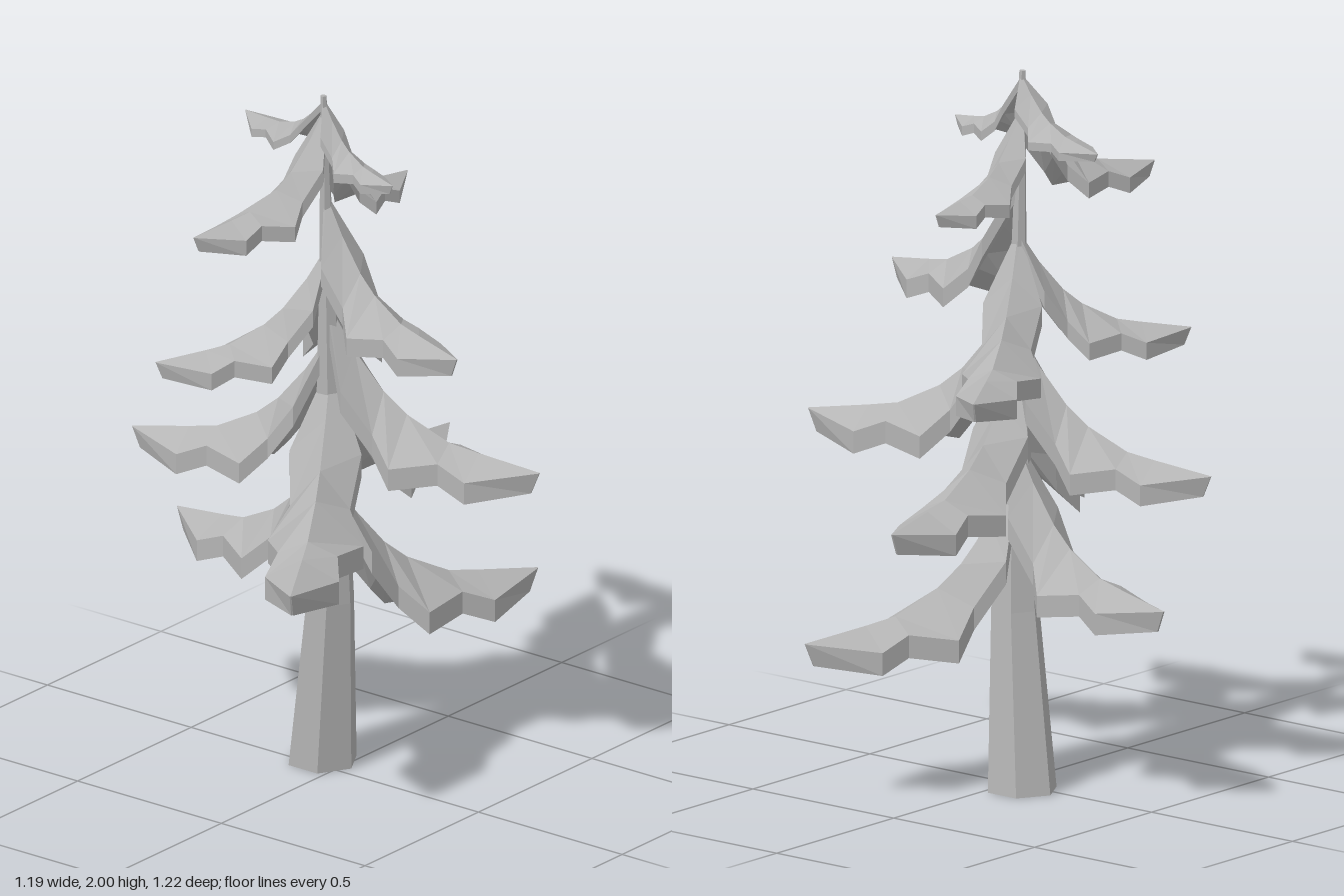
import * as THREE from 'three';

const grey = new THREE.MeshStandardMaterial({ color: 0xb4b4b4, flatShading: true });
grey.name = 'grey';

// Closed solid through rings of points, each counterclockwise around the path.
function loft(rings) {
  const n = rings[0].length, index = [];
  for (let i = 0; i < rings.length - 1; i++) {
    for (let j = 0; j < n; j++) {
      const k = (j + 1) % n, a = i * n + j, b = i * n + k;
      index.push(a, b, b + n, a, b + n, a + n);
    }
  }
  const g = new THREE.BufferGeometry();
  g.setAttribute('position', new THREE.Float32BufferAttribute(rings.flat(2), 3));
  // End caps
  const last = (rings.length - 1) * n;
  for (let j = 1; j < n - 1; j++) {
    index.push(0, j + 1, j);
    index.push(last, last + j, last + j + 1);
  }
  g.setIndex(index);
  const flat = g.toNonIndexed();
  flat.computeVertexNormals();
  return flat;
}

// Trunk sections: height, centre x, centre z, radius
const TRUNK = [
  [0, 0.035, -0.07, 0.1],
  [0.5, 0.005, -0.02, 0.07],
  [0.95, -0.018, 0, 0.045],
  [1.5, -0.035, 0, 0.022],
  [2, -0.05, 0, 0.009],
];

function trunkCentre(y) {
  let i = 0;
  while (i < TRUNK.length - 2 && TRUNK[i + 1][0] < y) i++;
  const [a, b] = [TRUNK[i], TRUNK[i + 1]];
  const t = (y - a[0]) / (b[0] - a[0]);
  return [a[1] + (b[1] - a[1]) * t, a[2] + (b[2] - a[2]) * t];
}

// Branch sections for unit length: distance, ridge height, half width, edge height
const BRANCH = [
  [0, 0.62, 0.02, 0.6],
  [0.12, 0.43, 0.15, 0.29],
  [0.26, 0.26, 0.125, 0.1],
  [0.37, 0.17, 0.2, -0.015],
  [0.57, 0.07, 0.125, 0.015],
  [0.71, 0.045, 0.155, -0.04],
  [1, 0, 0.004, -0.002],
];
const THICK = 0.1;

function branchGeometry() {
  return loft(BRANCH.map(([u, ridge, w, edge]) => {
    const v = u === 1 ? 0.96 : u; // underside tip is set back
    return [
      [w, edge, u], [0, ridge, u], [-w, edge, u],
      [-w, edge - THICK, v], [0, ridge - THICK, v], [w, edge - THICK, v],
    ];
  }));
}

// Branch tips, from the lowest upward
const TIPS = [
  [0.59, 0.47, 0.24],
  [0.08, 0.6, -0.61],
  [-0.6, 0.78, 0.32],
  [0.58, 0.825, -0.06],
  [-0.17, 0.925, -0.57],
  [0.13, 0.985, 0.61],
  [0.46, 1.2, -0.25],
  [-0.41, 1.255, -0.3],
  [-0.12, 1.375, 0.52],
  [0.32, 1.665, 0],
  [-0.47, 1.685, -0.12],
  [-0.1, 1.82, 0.28],
  [0.05, 1.84, -0.35],
];

export function createModel() {
  const tree = new THREE.Group();
  tree.name = 'pineTree';

  // Leaning hexagonal trunk
  const trunk = new THREE.Mesh(loft(TRUNK.map(([y, x, z, r]) =>
    Array.from({ length: 6 }, (_, i) => {
      const a = i * Math.PI / 3;
      return [x + r * Math.sin(a), y, z + r * Math.cos(a)];
    }))), grey);
  trunk.name = 'trunk';
  tree.add(trunk);

  // Drooping folded branches, each aimed from the trunk to its tip
  const geometry = branchGeometry();
  TIPS.forEach(([x, y, z], i) => {
    const [cx, cz] = trunkCentre(y + 0.3 * Math.hypot(x, z));
    const length = Math.hypot(x - cx, z - cz);
    const branch = new THREE.Mesh(geometry, grey);
    branch.name = `branch${i + 1}`;
    branch.position.set(cx, y, cz);
    branch.rotation.y = Math.atan2(x - cx, z - cz);
    branch.scale.setScalar(length);
    if (y > 1.8) branch.scale.y = (1.985 - y) / 0.62; // top pair starts at the crown
    tree.add(branch);
  });

  return tree;
}
